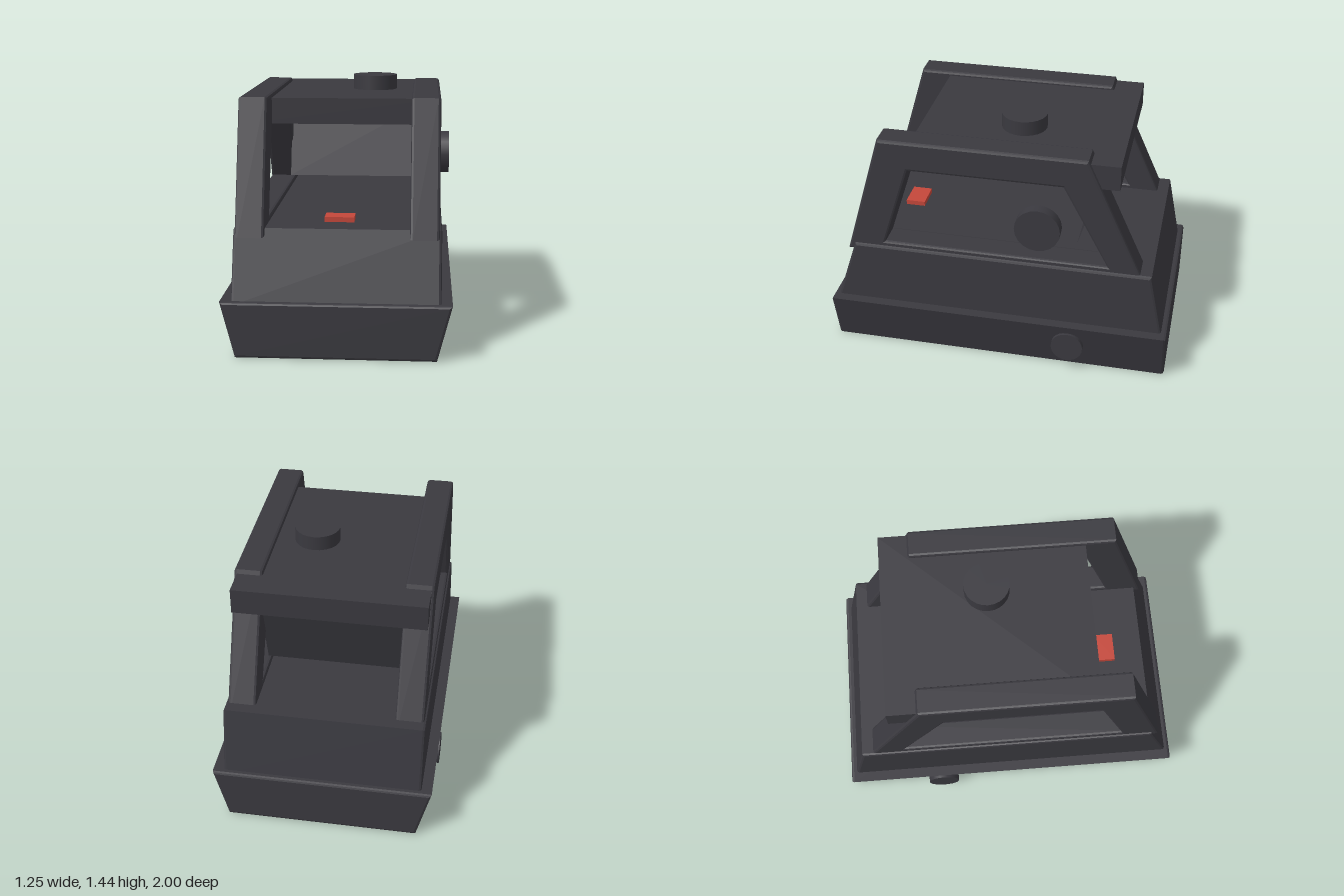
import * as THREE from 'three';

const BEVEL = 0.015;

// Extrudes an outline (with optional hole) centred along z, with small bevelled edges
function prism(points, depth, hole) {
  const shape = new THREE.Shape(points.map(([a, b]) => new THREE.Vector2(a, b)));
  if (hole) shape.holes.push(new THREE.Path(hole.map(([a, b]) => new THREE.Vector2(a, b))));
  const geo = new THREE.ExtrudeGeometry(shape, {
    depth: depth - 2 * BEVEL, bevelEnabled: true, bevelSize: BEVEL,
    bevelThickness: BEVEL, bevelOffset: -BEVEL, bevelSegments: 2,
  });
  return geo.translate(0, 0, BEVEL - depth / 2);
}

// Same, but the outline is given as (z, y) and runs across x
const sidePrism = (points, width, hole) => prism(points, width, hole).rotateY(-Math.PI / 2);

export function createModel() {
  const model = new THREE.Group();
  model.name = 'model';
  const dark = new THREE.MeshStandardMaterial({ color: 0x3a393f });
  dark.name = 'charcoal';
  const screenMat = new THREE.MeshStandardMaterial({ color: 0x3a393f, side: THREE.DoubleSide });
  screenMat.name = 'charcoal sheet';
  const red = new THREE.MeshStandardMaterial({ color: 0xc4473a });
  red.name = 'red';

  function add(name, geo, mat, x = 0, y = 0, z = 0) {
    const mesh = new THREE.Mesh(geo, mat);
    mesh.name = name;
    mesh.position.set(x, y, z);
    model.add(mesh);
    return mesh;
  }

  // Flared base
  add('base', prism([[-0.545, 0], [0.545, 0], [0.625, 0.31], [-0.625, 0.31]], 2), dark);

  // Tapered body with flat deck
  add('body', sidePrism([[0.975, 0.29], [0.845, 0.687], [-0.89, 0.687], [-0.97, 0.29]], 1.13), dark);

  // Side frames with a window opening, and round base plugs
  const outline = [[0.89, 0.64], [0.675, 1.378], [-0.51, 1.378], [-0.845, 0.64]];
  const window = [[0.66, 0.715], [0.505, 1.2], [-0.375, 1.2], [-0.635, 0.715]];
  for (const [side, s] of [['left', 1], ['right', -1]]) {
    add(side + 'Frame', sidePrism(outline, 0.16, window), dark, s * 0.472);
    const plug = new THREE.CylinderGeometry(0.093, 0.093, 0.12, 24).rotateZ(Math.PI / 2);
    add(side + 'Plug', plug, dark, s * 0.567, 0.17, -0.43);
  }

  // Roof slab held between the frames
  add('roof', new THREE.BoxGeometry(1.07, 0.145, 1.185), dark, 0, 1.2825, -0.0925);

  // Thin slanted screen, leaning back
  const rise = 0.43, lean = 0.13;
  const screen = add('screen', new THREE.PlaneGeometry(0.8, Math.hypot(rise, lean)),
    screenMat, 0, 0.965, -0.505);
  screen.rotation.x = -Math.atan2(lean, rise);

  // Round knobs on the roof and beside the window
  add('roofKnob', new THREE.CylinderGeometry(0.13, 0.13, 0.1, 24), dark, 0.162, 1.39, -0.085);
  add('sideKnob', new THREE.CylinderGeometry(0.13, 0.13, 0.065, 20).rotateZ(Math.PI / 2),
    dark, 0.583, 0.945, -0.245);

  // Red button on the front of the deck
  add('button', new THREE.BoxGeometry(0.165, 0.04, 0.115), red, 0, 0.695, 0.615);

  return model;
}
